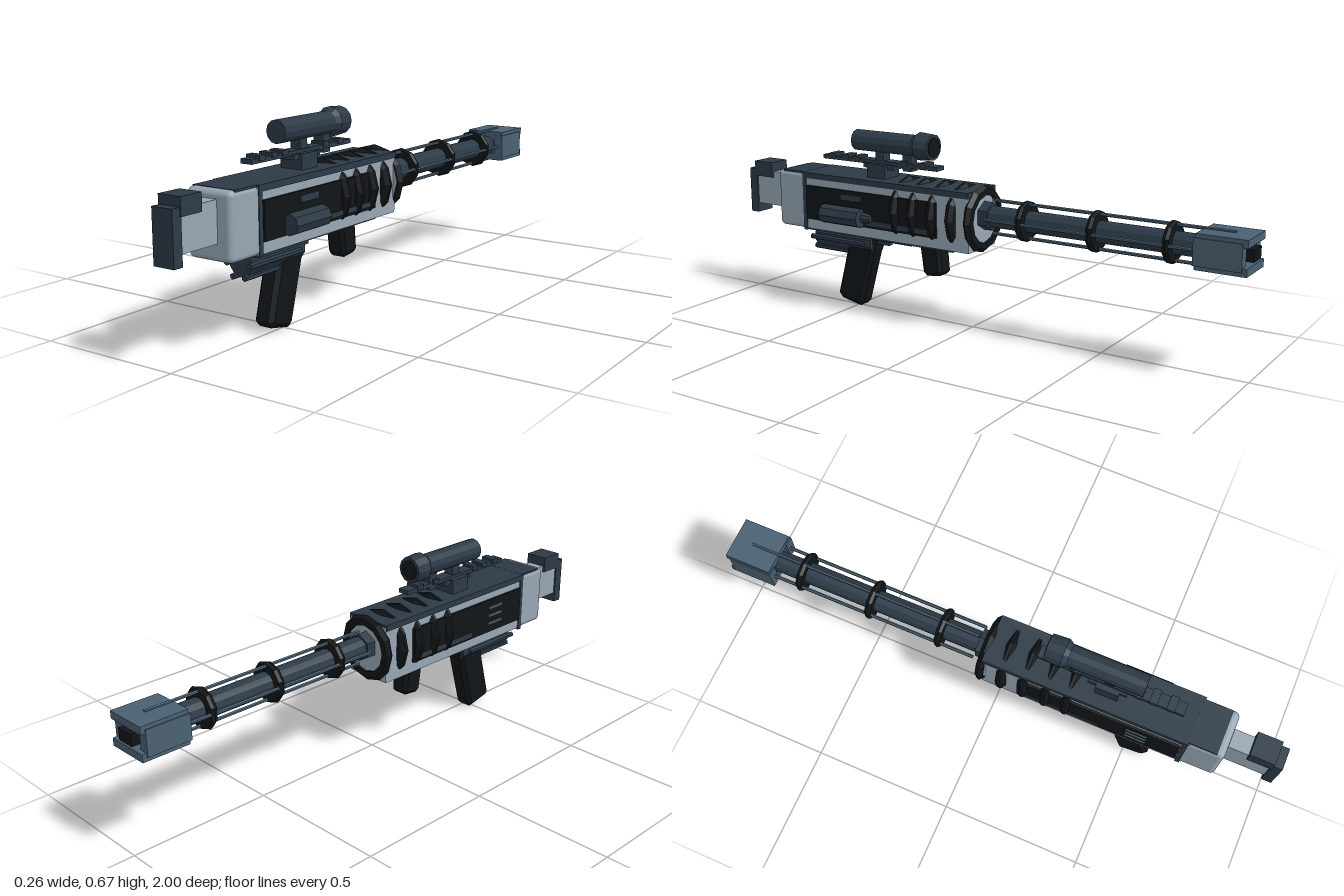
import * as THREE from 'three';
import { RoundedBoxGeometry } from 'three/addons/geometries/RoundedBoxGeometry.js';

const mat = (color) => new THREE.MeshStandardMaterial({ color, flatShading: true, side: THREE.DoubleSide });
const CX = -0.012; // centre line
const BARREL_Y = 0.407;
const BODY_Y = 0.39;

export function createModel() {
  const model = new THREE.Group();
  const slate = mat(0x2c3a47), steel = mat(0x4a6172), pale = mat(0x98a7b4), black = mat(0x111518);

  const add = (name, geometry, material, x, y, z) => {
    const mesh = new THREE.Mesh(geometry, material);
    mesh.name = name;
    mesh.position.set(x, y, z);
    model.add(mesh);
    return mesh;
  };
  // box given by its limits in y and z, and by centre and width in x
  const box = (name, m, w, y0, y1, z0, z1, x = CX) =>
    add(name, new THREE.BoxGeometry(w, y1 - y0, z1 - z0), m, x, (y0 + y1) / 2, (z0 + z1) / 2);
  // cylinder along z, r1 at the far (-z) end, r0 at the near (+z) end
  const rod = (name, m, r0, r1, x, y, z0, z1, sides = 12) =>
    add(name, new THREE.CylinderGeometry(r0, r1, z1 - z0, sides).rotateX(Math.PI / 2), m, x, y, (z0 + z1) / 2);
  // ring around the z axis turned from a closed profile of [radius, z]
  const ring = (name, m, profile, y, z, sides) => {
    const pts = [...profile, profile[0]].map(([r, h]) => new THREE.Vector2(r, h));
    return add(name, new THREE.LatheGeometry(pts, sides).rotateX(Math.PI / 2), m, CX, y, z);
  };
  // bevelled extrusion of a side outline of [z, y]
  const sidePlate = (name, m, outline, width, bevel) => {
    const shape = new THREE.Shape(outline.map(([z, y]) => new THREE.Vector2(-z, y)));
    const g = new THREE.ExtrudeGeometry(shape, {
      depth: width - 2 * bevel, bevelEnabled: true, bevelSize: bevel, bevelThickness: bevel,
      bevelOffset: -bevel, bevelSegments: 1,
    });
    g.translate(0, 0, -(width - 2 * bevel) / 2).rotateY(Math.PI / 2);
    return add(name, g, m, CX, 0, 0);
  };

  // Stock
  box('buttPlate', slate, 0.077, 0.305, 0.475, 0.965, 1.0);
  box('cheekBlock', slate, 0.084, 0.448, 0.505, 0.885, 0.97);
  box('stockArm', pale, 0.066, 0.34, 0.47, 0.79, 0.968);
  const rear = new THREE.MeshStandardMaterial({ color: 0x98a7b4 });
  add('rearHousing', new RoundedBoxGeometry(0.17, 0.212, 0.15, 3, 0.018), rear, CX, BODY_Y, 0.74);

  // Receiver
  box('receiver', pale, 0.168, 0.287, 0.487, -0.03, 0.7);
  box('rearFrame', slate, 0.176, 0.281, 0.496, 0.678, 0.694);
  box('topPlate', slate, 0.176, 0.476, 0.497, -0.03, 0.694);
  box('rearTopPlate', slate, 0.16, 0.485, 0.4975, 0.69, 0.79);
  box('bottomPlate', slate, 0.12, 0.275, 0.29, 0.05, 0.69);
  for (const s of [-1, 1]) {
    box('sidePanel', black, 0.02, 0.325, 0.45, 0.1, 0.675, CX + s * 0.083);
    box('sideRail', slate, 0.012, 0.335, 0.352, 0.12, 0.4, CX + s * 0.09);
  }
  for (const y of [0.36, 0.39, 0.42]) box('ventSlat', steel, 0.008, y - 0.005, y + 0.005, 0.49, 0.565, CX - 0.094);

  // Cooling ribs around the receiver
  for (const z of [0.04, 0.12, 0.2, 0.275])
    ring('coolingRib', black, [[0.08, -0.018], [0.104, -0.016], [0.118, -0.005], [0.118, 0.005], [0.104, 0.016], [0.08, 0.018]], BODY_Y + 0.005, z, 12);
  ring('frontCollar', black, [[0.084, -0.014], [0.106, -0.014], [0.119, 0], [0.106, 0.014], [0.084, 0.014]], BODY_Y + 0.005, -0.035, 12);
  rod('frontDisc', pale, 0.1, 0.1, CX, BODY_Y + 0.005, -0.04, -0.02, 12);

  // Side canister
  rod('sideCanister', slate, 0.035, 0.035, 0.094, 0.36, 0.41, 0.58, 8);
  rod('canisterNeck', slate, 0.02, 0.014, 0.082, 0.36, 0.375, 0.41, 8);
  box('sideLatch', slate, 0.016, 0.415, 0.437, 0.42, 0.51, 0.08);

  // Barrel with guide rods and clamps
  rod('barrel', slate, 0.038, 0.038, CX, BARREL_Y, -0.9, -0.02, 12);
  rod('barrelBase', slate, 0.05, 0.05, CX, BARREL_Y, -0.075, -0.03, 6);
  for (let i = 0; i < 4; i++) {
    const a = i * Math.PI / 2;
    rod('guideRod', steel, 0.006, 0.006, CX + Math.cos(a) * 0.058, BARREL_Y + Math.sin(a) * 0.058, i % 2 ? -0.93 : -0.85, -0.075, 6);
  }
  for (const z of [-0.208, -0.468, -0.73])
    ring('barrelClamp', black, [[0.036, -0.011], [0.066, -0.011], [0.071, 0], [0.066, 0.011], [0.036, 0.011]], BARREL_Y, z, 10);

  // Muzzle block: hollow frame with a dark bore
  for (const s of [-1, 1]) {
    const y = BARREL_Y + s * 0.044;
    box('muzzlePlate', steel, 0.15, y - 0.013, y + 0.013, -0.995, -0.83);
    box('muzzleCheek', steel, 0.034, BARREL_Y - 0.044, BARREL_Y + 0.044, -0.98, -0.825, CX + s * 0.062);
  }
  box('muzzleBack', steel, 0.13, BARREL_Y - 0.045, BARREL_Y + 0.045, -0.88, -0.835);
  box('muzzleBore', black, 0.064, BARREL_Y - 0.02, BARREL_Y + 0.02, -1.0, -0.85);

  // Sight rail and scope
  box('railFoot', slate, 0.084, 0.49, 0.548, 0.35, 0.43);
  box('railBrace', slate, 0.06, 0.53, 0.547, 0.32, 0.455);
  box('sightRail', slate, 0.044, 0.543, 0.558, 0.14, 0.645);
  for (const z of [0.6, 0.54, 0.49, 0.28, 0.2]) box('railTooth', slate, 0.052, 0.55, 0.567, z - 0.014, z + 0.014);
  for (const z of [0.39, 0.27]) box('scopePost', slate, 0.038, 0.53, 0.6, z - 0.018, z + 0.018);
  rod('scopeTube', slate, 0.038, 0.038, CX, 0.622, 0.2, 0.503, 12);
  rod('scopeBell', slate, 0.05, 0.046, CX, 0.622, 0.168, 0.225, 12);
  rod('scopeTaper', slate, 0.038, 0.05, CX, 0.622, 0.225, 0.243, 12);
  rod('scopeLens', black, 0.036, 0.036, CX, 0.622, 0.165, 0.17, 12);

  // Lower tank with thin tubes around it
  rod('lowerTank', slate, 0.045, 0.045, CX, 0.25, 0.42, 0.68, 10);
  for (const [dx, y] of [[-0.046, 0.247], [0.046, 0.247], [-0.023, 0.207], [0.023, 0.207]])
    rod('tankTube', slate, 0.01, 0.01, CX + dx, y, 0.45, 0.692, 6);
  box('triggerHousing', slate, 0.05, 0.262, 0.29, 0.25, 0.44);
  box('trigger', slate, 0.02, 0.245, 0.275, 0.36, 0.41);

  // Grips
  sidePlate('grip', black, [[0.525, 0.27], [0.41, 0.27], [0.415, 0.225], [0.473, 0.018], [0.487, 0.003], [0.57, 0.02], [0.587, 0.038]], 0.073, 0.014);
  sidePlate('foreGrip', black, [[0.215, 0.295], [0.128, 0.295], [0.118, 0.182], [0.13, 0.17], [0.184, 0.164], [0.198, 0.176]], 0.07, 0.012);
  return model;
}
